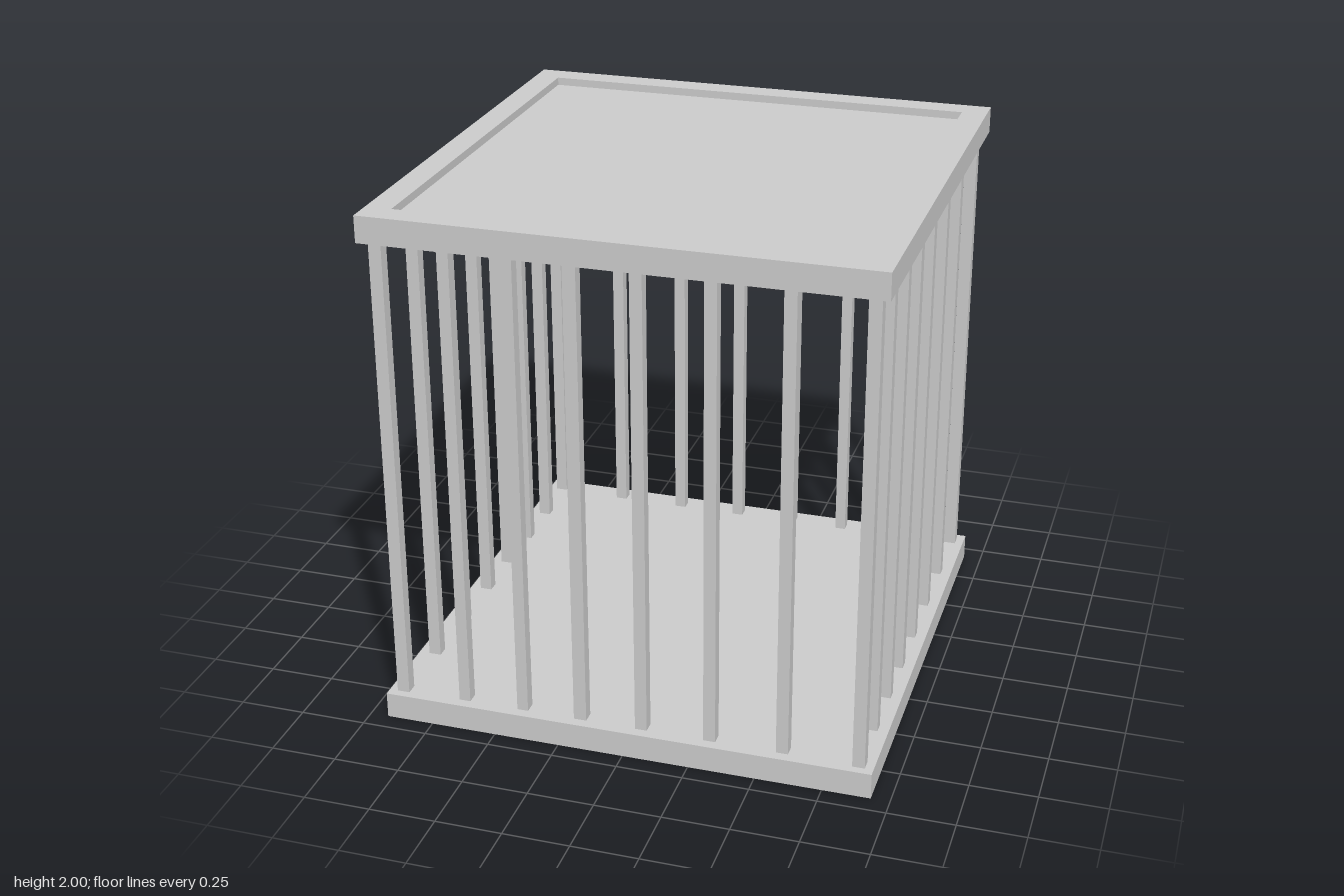
import * as THREE from 'three';

const HALF = 0.93;   // half width of the plates
const INNER = 0.833; // half width of the roof recess
const PLATE = 0.1;   // plate thickness
const HEIGHT = 2;
const RECESS = 0.03;

// Bars of one side: [position along the side, width, distance from centre]
const BARS = [
  [-0.875, 0.047, 0.875],
  [-0.63, 0.043, 0.867],
  [-0.4, 0.042, 0.867],
  [-0.175, 0.048, 0.867],
  [0.06, 0.045, 0.867],
  [0.32, 0.045, 0.867],
  [0.592, 0.045, 0.867],
];

function square(PathType, h) {
  const p = new PathType();
  p.moveTo(-h, -h);
  p.lineTo(h, -h);
  p.lineTo(h, h);
  p.lineTo(-h, h);
  p.closePath();
  return p;
}

export function createModel() {
  const model = new THREE.Group();
  const material = new THREE.MeshStandardMaterial({ color: 0xcccccc, flatShading: true });

  function add(parent, name, geometry, x, y, z) {
    const mesh = new THREE.Mesh(geometry, material);
    mesh.name = name;
    mesh.position.set(x, y, z);
    parent.add(mesh);
    return mesh;
  }

  // Floor slab
  add(model, 'floor', new THREE.BoxGeometry(HALF * 2, PLATE, HALF * 2), 0, PLATE / 2, 0);

  // Roof: raised rim around a sunken panel
  const rim = square(THREE.Shape, HALF);
  rim.holes.push(square(THREE.Path, INNER));
  const rimGeometry = new THREE.ExtrudeGeometry(rim, { depth: PLATE, bevelEnabled: false });
  rimGeometry.rotateX(-Math.PI / 2);
  add(model, 'roofRim', rimGeometry, 0, HEIGHT - PLATE, 0);
  const panel = PLATE - RECESS;
  add(model, 'roofPanel', new THREE.BoxGeometry(INNER * 2, panel, INNER * 2),
    0, HEIGHT - PLATE + panel / 2, 0);

  // Bars: one unevenly spaced row, turned around the four sides
  const length = HEIGHT - 2 * PLATE;
  ['front', 'left', 'back', 'right'].forEach((side, i) => {
    const row = new THREE.Group();
    row.name = side + 'Bars';
    row.rotation.y = i * Math.PI / 2;
    BARS.forEach(([x, width, z], j) => {
      add(row, j === 0 ? 'cornerBar' : 'bar', new THREE.BoxGeometry(width, length, 0.046), x, HEIGHT / 2, z);
    });
    model.add(row);
  });

  return model;
}
